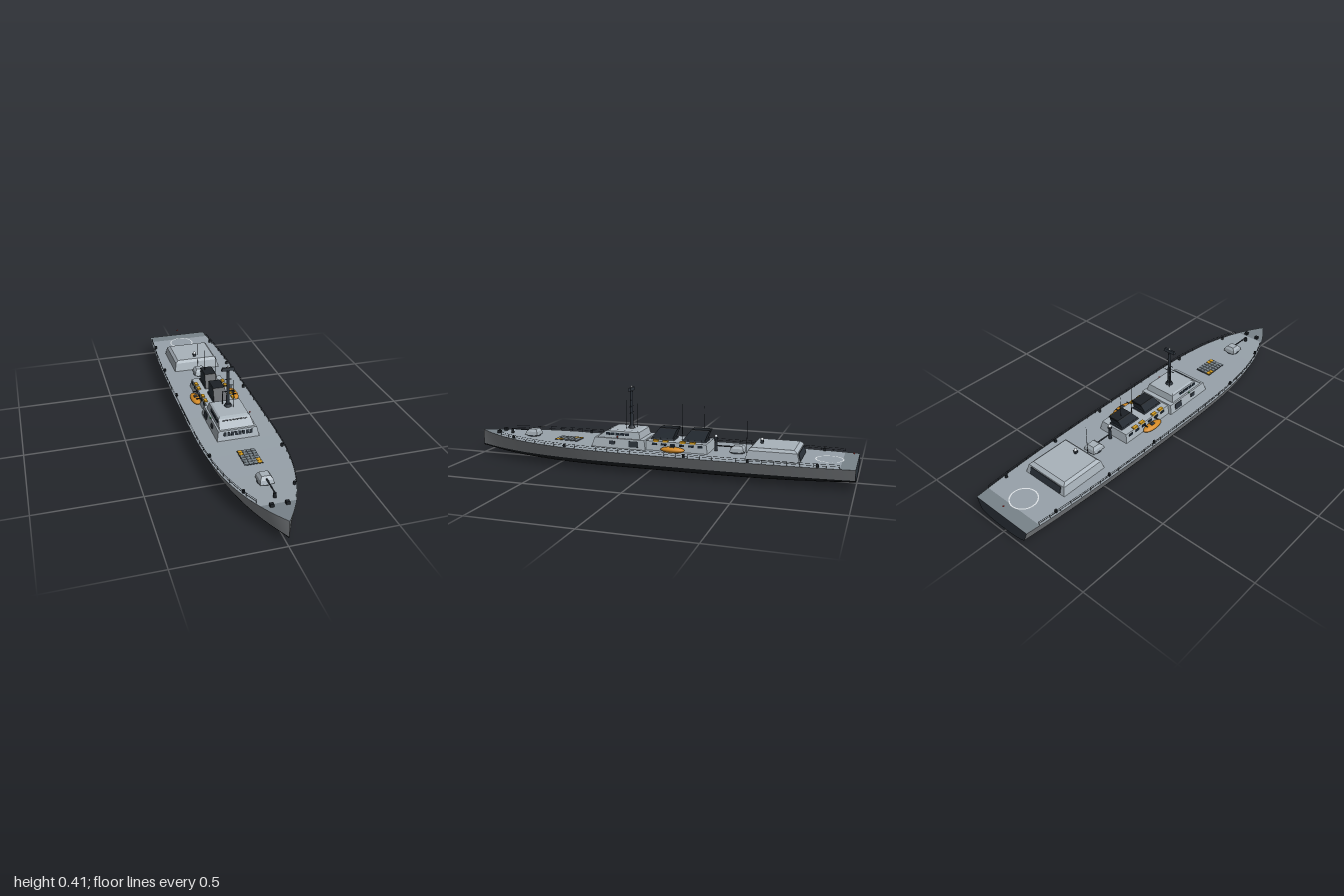
import * as THREE from 'three';
import { RoundedBoxGeometry } from 'three/addons/geometries/RoundedBoxGeometry.js';

const mat = (color) => new THREE.MeshStandardMaterial({ color });
const M = {
  hull: mat(0x84888c), bottom: mat(0x1a1f23), deck: mat(0x98a2aa), deckDark: mat(0x79838a),
  house: mat(0xa9b3bb), dark: mat(0x2b323a), black: mat(0x1c2126), glass: mat(0x18222c),
  orange: mat(0xd48a24), yellow: mat(0xd9a020), white: mat(0xdde2e6), red: mat(0xd02a20), green: mat(0x20b050),
};

// Hull lines as functions of z
const beam = (z) => (z > 0 ? 0.2 * (1 - z ** 3.6) : 0.2 - 0.032 * (-z) ** 3);
const waterBeam = (z) => (z > 0 ? 0.176 * (1 - z ** 3.1) : 0.176 - 0.03 * (-z) ** 3);
const keelY = (z) => (z > 0 ? 0.042 * z ** 3 : 0.026 * (-z) ** 4);
const deckY = (z) => 0.105 + (z > 0 ? 0.022 * z * z : 0);
const WATER = 0.05;

const bilge = [[1, 1], [0.94, 0.7], [0.82, 0.45], [0.65, 0.26], [0.35, 0.07], [0, 0]];
const underwater = (z) => {
  const half = bilge.map(([u, v]) => [u * waterBeam(z), keelY(z) + v * (WATER - keelY(z))]);
  return [...half, ...half.slice(0, -1).reverse().map(([x, y]) => [-x, y])];
};

// Skin through cross-sections along z
function loft(section, z0, z1, steps) {
  const pos = [], index = [], n = section(z0).length;
  for (let i = 0; i <= steps; i++) {
    const z = z0 + ((z1 - z0) * i) / steps;
    section(z).forEach(([x, y]) => pos.push(x, y, z));
  }
  for (let i = 0; i < steps; i++) for (let j = 0; j < n - 1; j++) {
    const a = i * n + j, b = a + n;
    index.push(a, b, a + 1, b, b + 1, a + 1);
  }
  const g = new THREE.BufferGeometry();
  g.setAttribute('position', new THREE.Float32BufferAttribute(pos, 3));
  g.setIndex(index);
  g.computeVertexNormals();
  return g;
}

// Tapered block; each end is [halfWidth, zBack, zFront, y]
function taper(lo, hi) {
  const g = new THREE.BoxGeometry(2, 1, 1), p = g.attributes.position;
  for (let i = 0; i < p.count; i++) {
    const [w, zb, zf, y] = p.getY(i) > 0 ? hi : lo;
    p.setXYZ(i, p.getX(i) * w, y, p.getZ(i) > 0 ? zf : zb);
  }
  g.computeVertexNormals();
  return g;
}

export function createModel() {
  const ship = new THREE.Group();
  ship.name = 'ship';
  const add = (name, geo, m, x = 0, y = 0, z = 0, rx = 0, ry = 0, rz = 0) => {
    const mesh = new THREE.Mesh(geo, m);
    mesh.name = name;
    mesh.position.set(x, y, z);
    mesh.rotation.set(rx, ry, rz);
    ship.add(mesh);
    return mesh;
  };
  const box = (w, h, d) => new THREE.BoxGeometry(w, h, d);
  const cyl = (r0, r1, h, n = 10) => new THREE.CylinderGeometry(r0, r1, h, n);
  const ball = (r) => new THREE.SphereGeometry(r, 14, 10);

  // Hull
  const port = (z) => [[beam(z), deckY(z)], [waterBeam(z), WATER]];
  const starboard = (z) => port(z).reverse().map(([x, y]) => [-x, y]);
  const deck = (z) => [[-beam(z), deckY(z)], [beam(z), deckY(z)]];
  add('hullSideLeft', loft(port, -1, 1, 80), M.hull);
  add('hullSideRight', loft(starboard, -1, 1, 80), M.hull);
  add('hullBottom', loft(underwater, -1, 1, 80), M.bottom);
  add('sternDeck', loft(deck, -1, -0.93, 4), M.deckDark);
  add('mainDeck', loft(deck, -0.93, 0.865, 60), M.deck);
  add('bowDeck', loft(deck, 0.865, 1, 12), M.deckDark);
  const transom = [[beam(-1), deckY(-1)], ...underwater(-1), [-beam(-1), deckY(-1)]];
  add('transom', new THREE.ShapeGeometry(new THREE.Shape(transom.map(([x, y]) => new THREE.Vector2(x, y)))),
    M.dark, 0, 0, -1, 0, Math.PI);

  // Bridge
  add('bridgeLower', taper([0.107, 0.02, 0.312, 0.1], [0.096, 0.03, 0.297, 0.153]), M.house);
  add('bridgeUpper', taper([0.087, 0.055, 0.285, 0.153], [0.079, 0.063, 0.24, 0.187]), M.house);
  add('bridgeRoof', taper([0.079, 0.063, 0.24, 0.187], [0.07, 0.075, 0.225, 0.193]), M.house);
  for (let i = 0; i < 8; i++) {
    const x = (i - 3.5) * 0.0185;
    add('bridgeWindow', box(0.014, 0.019, 0.004), M.glass, x, 0.136, 0.302, -0.28);
    add('upperWindow', box(0.013, 0.006, 0.004), M.glass, x * 0.85, 0.181, 0.2485, -0.92);
  }
  for (const s of [1, -1]) {
    for (let i = 0; i < 5; i++)
      add('upperSideWindow', box(0.004, 0.013, 0.021), M.glass, s * 0.0825, 0.173, 0.125 + i * 0.026, 0, 0, s * 0.23);
    add('bridgeDoor', box(0.004, 0.03, 0.05), M.dark, s * 0.102, 0.13, 0.085, 0, 0, s * 0.2);
    add('bridgeSidePanel', box(0.004, 0.018, 0.03), M.dark, s * 0.102, 0.132, 0.2, 0, 0, s * 0.2);
    add('navLightPost', cyl(0.0015, 0.0015, 0.012, 6), M.dark, s * 0.098, 0.156, 0.17, 0, 0, -s * 0.5);
    add('navLight', ball(0.004), s > 0 ? M.red : M.green, s * 0.102, 0.163, 0.17);
  }

  // Mast with yards and radar
  add('mastBase', cyl(0.014, 0.02, 0.014, 8), M.dark, 0, 0.199, 0.13);
  add('mast', cyl(0.0075, 0.009, 0.19, 8), M.dark, 0, 0.287, 0.13);
  add('mastHead', cyl(0.003, 0.003, 0.012, 8), M.dark, 0, 0.385, 0.13);
  add('radar', taper([0.034, 0.122, 0.138, 0.387], [0.029, 0.125, 0.135, 0.402]), M.dark);
  add('mastLight', ball(0.005), M.white, 0, 0.406, 0.13);
  for (const [y, w] of [[0.338, 0.034], [0.305, 0.048], [0.273, 0.06]])
    add('yard', box(w, 0.003, 0.003), M.dark, 0, y, 0.13);
  // Whip aerials: x, z, foot, tip
  for (const [x, z, y0, y1] of [[0.023, 0.148, 0.19, 0.34], [-0.021, 0.107, 0.19, 0.316],
    [0.013, -0.145, 0.15, 0.335], [-0.015, -0.25, 0.15, 0.325], [0, -0.47, 0.105, 0.268]])
    add('whipAerial', cyl(0.001, 0.0016, y1 - y0, 6), M.dark, x, (y0 + y1) / 2, z);

  // Midship house with two raked funnels
  add('midHouse', taper([0.09, -0.295, 0.025, 0.1], [0.08, -0.285, 0.025, 0.15]), M.house);
  for (const z of [0, -0.165]) {
    add('funnelBase', taper([0.042, z - 0.11, z + 0.015, 0.148], [0.038, z - 0.108, z + 0.01, 0.157]), M.dark);
    add('funnel', taper([0.037, z - 0.1, z + 0.012, 0.155], [0.031, z - 0.122, z - 0.03, 0.208]), M.dark);
    add('funnelCap', taper([0.033, z - 0.124, z - 0.028, 0.206], [0.029, z - 0.122, z - 0.032, 0.211]), M.black);
  }
  for (const s of [1, -1]) {
    // Lifeboats, davits and lockers
    add('lifeboat', ball(1), M.orange, s * 0.103, 0.118, -0.12).scale.set(0.024, 0.015, 0.063);
    add('lifeboatCabin', new RoundedBoxGeometry(0.018, 0.014, 0.024, 2, 0.004), M.dark, s * 0.103, 0.13, -0.12);
    for (const z of [-0.16, -0.08]) add('davit', box(0.03, 0.004, 0.005), M.dark, s * 0.093, 0.138, z);
    for (const z of [-0.215, -0.165, -0.075, -0.025])
      add('locker', box(0.016, 0.01, 0.028), M.yellow, s * 0.073, 0.152, z);
    for (let i = 0; i < 6; i++)
      add('houseWindow', box(0.004, 0.011, 0.026), M.glass, s * 0.083, 0.137, -0.255 + i * 0.047, 0, 0, s * 0.2);
  }

  // Hangar
  add('hangar', taper([0.128, -0.745, -0.485, 0.1], [0.118, -0.732, -0.498, 0.148]), M.house);
  add('hangarRoof', taper([0.118, -0.732, -0.498, 0.148], [0.104, -0.715, -0.512, 0.161]), M.house);
  add('hangarDoor', box(0.2, 0.036, 0.004), M.dark, 0, 0.126, -0.7395, 0.265);

  // Directors: post, dark head and small dome
  for (const [z, y] of [[-0.545, 0.16], [-0.315, 0.105]]) {
    const h = 0.17 - y;
    add('directorPost', cyl(0.006, 0.008, h), M.dark, 0, y + h / 2, z);
    add('directorHead', box(0.016, 0.011, 0.014), M.dark, 0, 0.171, z);
    add('directorDome', ball(0.008), M.white, 0, 0.18, z);
  }

  // Gun turrets, both trained forward
  for (const [z, len] of [[0.692, 0.1], [-0.425, 0.085]]) {
    const y = deckY(z);
    add('gunRing', cyl(0.034, 0.036, 0.008, 24), M.dark, 0, y + 0.003, z);
    add('turret', taper([0.033, z - 0.036, z + 0.036, y + 0.006], [0.03, z - 0.033, z + 0.03, y + 0.024]), M.house);
    add('turretTop', taper([0.03, z - 0.033, z + 0.03, y + 0.024], [0.02, z - 0.024, z + 0.015, y + 0.037]), M.house);
    add('gunBarrel', cyl(0.003, 0.004, len), M.dark, 0, y + 0.027, z + 0.025 + len / 2, Math.PI / 2);
  }
  add('capstan', cyl(0.007, 0.008, 0.024), M.black, 0, deckY(0.82) + 0.011, 0.82);

  // Missile hatch grid
  add('hatchFrame', box(0.088, 0.006, 0.13), M.dark, 0, 0.109, 0.483, -0.02);
  for (let i = 0; i < 4; i++) for (let j = 0; j < 6; j++) {
    const lit = (i === 0 && j < 2) || (i === 3 && j > 3);
    add('hatchCell', box(0.019, 0.006, 0.018), lit ? M.yellow : M.deckDark,
      (i - 1.5) * 0.021, 0.1112, 0.483 + (j - 2.5) * 0.0208);
  }

  // Landing circle
  add('landingCircle', new THREE.RingGeometry(0.062, 0.068, 48), M.white, 0, 0.1065, -0.87, -Math.PI / 2);

  // Bollards, fairleads and rails
  for (const s of [1, -1]) {
    for (const z of [-0.83, -0.51, -0.2, 0.43, 0.75])
      add('bollard', cyl(0.006, 0.007, 0.016), M.black, s * (beam(z) - 0.014), deckY(z) + 0.007, z);
    add('bowBollard', box(0.017, 0.016, 0.016), M.black, s * 0.035, deckY(0.88) + 0.007, 0.88);
    const path = (h) => new THREE.CatmullRomCurve3(Array.from({ length: 31 }, (_, i) => {
      const z = -0.93 + i * 0.059;
      return new THREE.Vector3(s * (beam(z) - 0.005), deckY(z) + h, z);
    }));
    for (const h of [0.01, 0.019])
      add('railWire', new THREE.TubeGeometry(path(h), 90, 0.0008, 5), M.dark);
    for (const p of path(0.0095).points)
      add('railPost', cyl(0.001, 0.001, 0.02, 5), M.dark, p.x, p.y, p.z);
  }
  add('sternLight', ball(0.004), M.red, 0, 0.143, -0.98);
  return ship;
}
